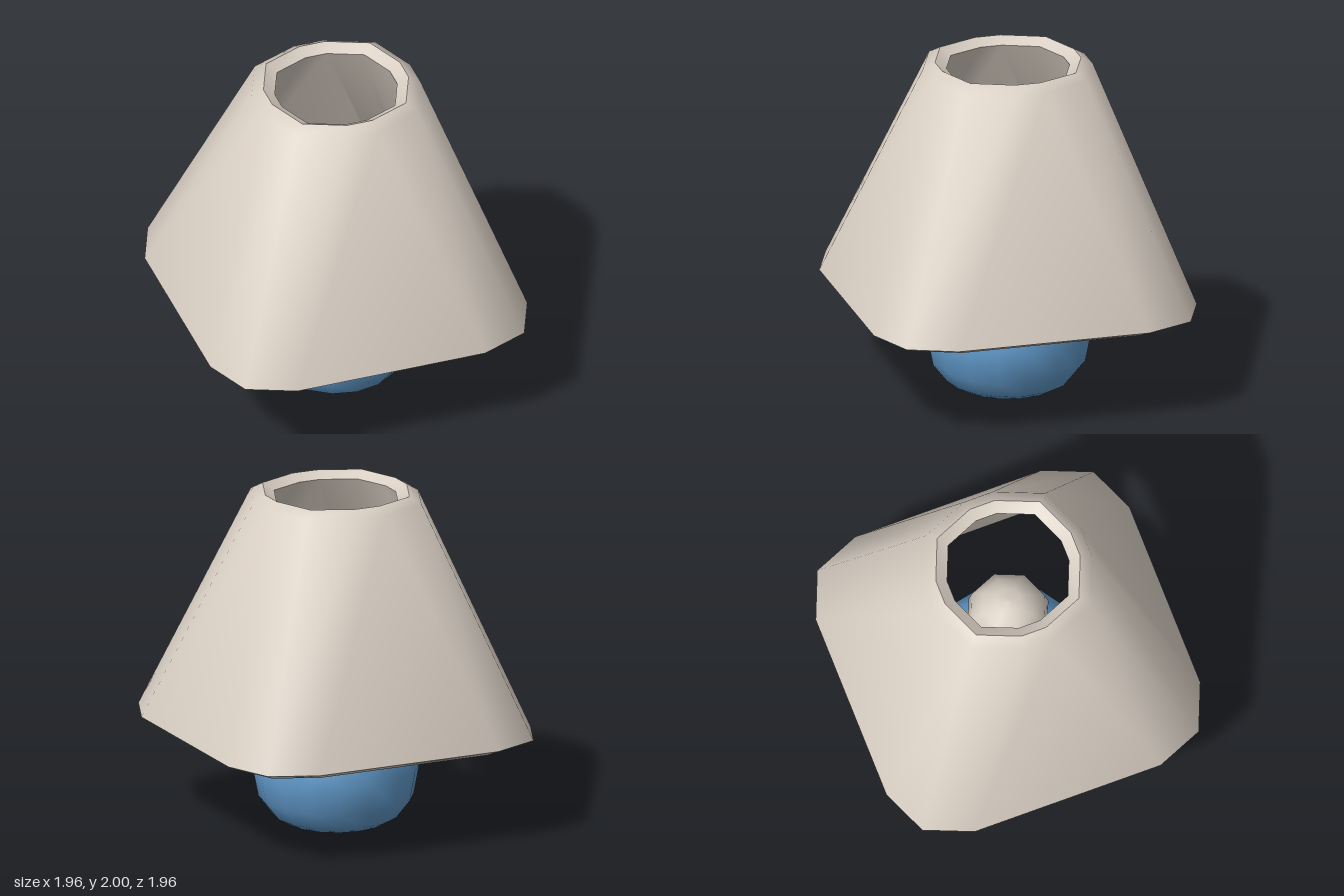
import * as THREE from 'three';
import { toCreasedNormals } from 'three/addons/utils/BufferGeometryUtils.js';

// Twelve-point rounded square: straight half-length s, corner radius r
function roundedSquare(s, r, y, k = 1) {
  const pts = [];
  for (let c = 0; c < 4; c++) {
    const mid = Math.PI / 4 + c * Math.PI / 2;
    const cx = Math.sign(Math.cos(mid)) * s, cz = Math.sign(Math.sin(mid)) * s;
    for (let i = 0; i < 3; i++) {
      const a = (c * 2 + i) * Math.PI / 4;
      pts.push([(cx + r * Math.cos(a)) * k, y, (cz + r * Math.sin(a)) * k]);
    }
  }
  return pts;
}

// Closed tube of rings: outer wall up, over the rim, inner wall down, back under
function loftLoop(rings) {
  const n = rings[0].length, index = [];
  for (let i = 0; i < rings.length; i++) {
    const i2 = (i + 1) % rings.length;
    for (let j = 0; j < n; j++) {
      const j2 = (j + 1) % n;
      const a = i * n + j, b = i * n + j2, c = i2 * n + j, d = i2 * n + j2;
      index.push(a, c, b, b, c, d);
    }
  }
  const geo = new THREE.BufferGeometry();
  geo.setAttribute('position', new THREE.Float32BufferAttribute(rings.flat(2), 3));
  geo.setIndex(index);
  return toCreasedNormals(geo, 0.85);
}

function lathe(profile, sides) {
  return new THREE.LatheGeometry(profile.map(([r, y]) => new THREE.Vector2(r, y)), sides);
}

export function createModel() {
  const group = new THREE.Group();
  const beige = new THREE.MeshStandardMaterial({ color: 0xd8cec3 });
  beige.name = 'warm beige';
  const blue = new THREE.MeshStandardMaterial({ color: 0x629bcc });
  blue.name = 'blue';

  const add = (name, geo, mat) => {
    const mesh = new THREE.Mesh(geo, mat);
    mesh.name = name;
    group.add(mesh);
  };

  // Thick shade: nearly round at the top, rounded square at the bottom,
  // with tighter corners on the inside
  add('shade', loftLoop([
    roundedSquare(0.58, 0.4, 0.59),
    roundedSquare(0.09, 0.4, 1.96),
    roundedSquare(0.09, 0.4, 2, 0.86),
    roundedSquare(0.09, 0.4, 1.96, 0.725),
    roundedSquare(0.63, 0.14, 0.59),
    roundedSquare(0.58, 0.4, 0.555, 0.93),
  ]), beige);

  // Squat rounded base
  add('base', lathe([
    [0, 0], [0.3, 0], [0.37, 0.04], [0.455, 0.15], [0.489, 0.33],
    [0.455, 0.5], [0.37, 0.62], [0.28, 0.665], [0.14, 0.685], [0, 0.69],
  ], 16), blue);

  // Slim post holding the bulb
  const post = new THREE.CylinderGeometry(0.06, 0.06, 0.2, 8);
  post.translate(0, 0.75, 0);
  add('post', post, beige);

  // Light bulb with a narrow neck
  add('bulb', lathe([
    [0, 0.82], [0.125, 0.82], [0.125, 0.96], [0.21, 1.08], [0.252, 1.2],
    [0.23, 1.31], [0.16, 1.4], [0.08, 1.44], [0, 1.45],
  ], 8), beige);

  return group;
}
